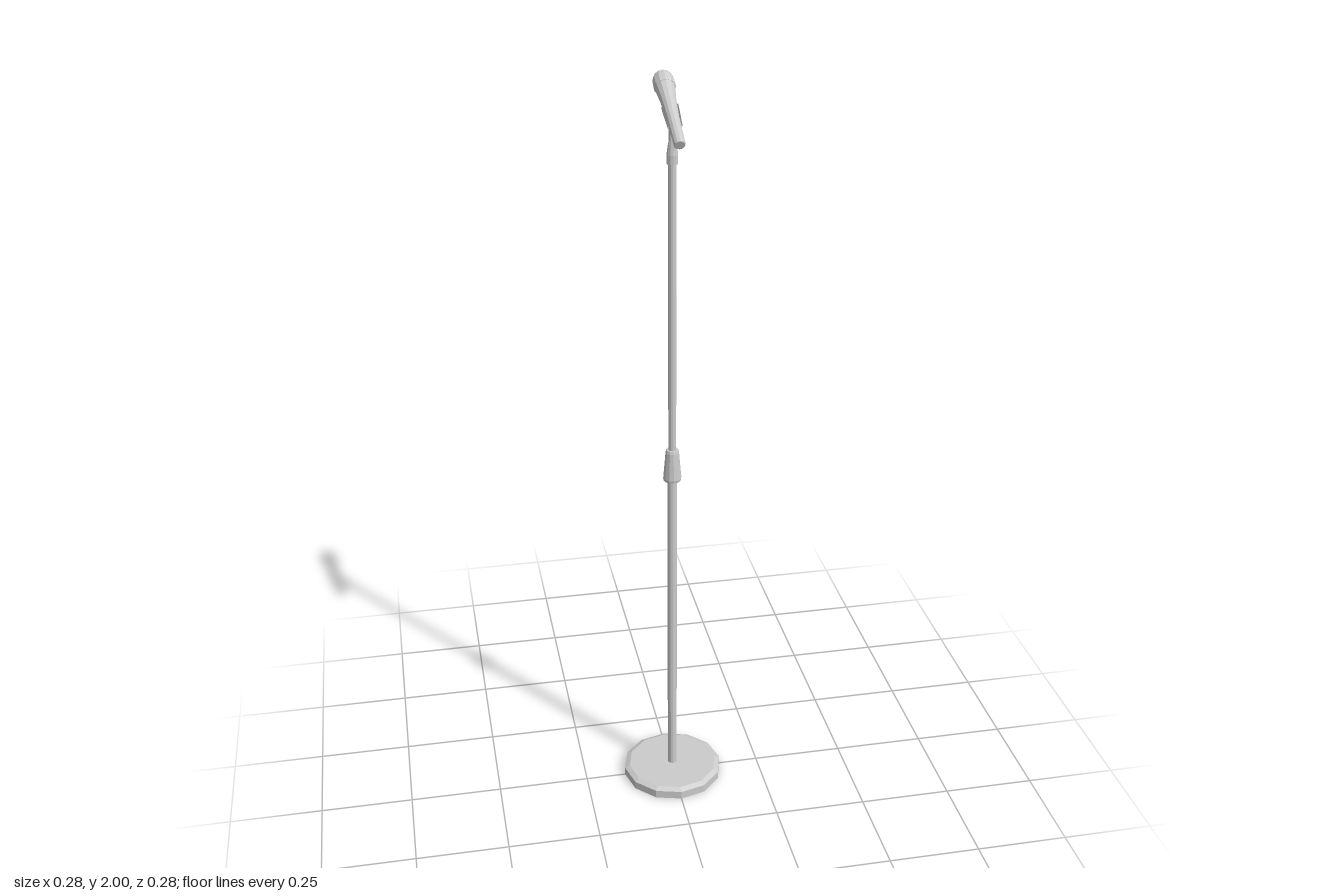
import * as THREE from 'three';

const SIDES = 12;
const material = new THREE.MeshStandardMaterial({ color: 0xcccccc, flatShading: true });
const openMaterial = new THREE.MeshStandardMaterial({ color: 0xcccccc, flatShading: true, side: THREE.DoubleSide });

// Turned part from [radius, height] pairs, listed bottom to top on the outside
function turned(name, profile, mat = material, start = 0, sweep = Math.PI * 2, sides = SIDES) {
  const points = profile.map(([r, y]) => new THREE.Vector2(r, y));
  const mesh = new THREE.Mesh(new THREE.LatheGeometry(points, sides, start, sweep), mat);
  mesh.name = name;
  return mesh;
}

export function createModel() {
  const model = new THREE.Group();
  model.name = 'microphoneStand';

  // Weighted foot: a bevelled shell, open underneath
  model.add(turned('base', [[0.139, 0], [0.139, 0.023], [0.125, 0.03], [0, 0.03]], openMaterial));

  // Telescopic pole with its clutch
  model.add(turned('lowerPole', [[0, 0.02], [0.013, 0.02], [0.013, 0.955], [0, 0.955]]));
  model.add(turned('upperPole', [[0, 1.03], [0.0105, 1.03], [0.0105, 1.81], [0, 1.81]]));
  model.add(turned('clutch', [
    [0, 0.948], [0.023, 0.948], [0.0245, 0.955], [0.0235, 0.965],
    [0.018, 1.03], [0.016, 1.037], [0, 1.037],
  ]));

  // Threaded socket under the clip
  model.add(turned('clipSocket', [
    [0, 1.8], [0.0145, 1.8], [0.0145, 1.822], [0.011, 1.845], [0.008, 1.86], [0, 1.86],
  ]));

  // Flat hinge bracket, flaring along z towards the clip
  const hingeShape = new THREE.Shape();
  hingeShape.moveTo(-0.013, 1.835);
  hingeShape.lineTo(0.013, 1.835);
  hingeShape.lineTo(0.013, 1.885);
  hingeShape.lineTo(0.018, 1.908);
  hingeShape.lineTo(-0.018, 1.895);
  hingeShape.lineTo(-0.013, 1.875);
  const hingeGeometry = new THREE.ExtrudeGeometry(hingeShape, { depth: 0.014, bevelEnabled: false });
  hingeGeometry.translate(0, 0, -0.007).rotateY(Math.PI / 2);
  const hinge = new THREE.Mesh(hingeGeometry, material);
  hinge.name = 'clipHinge';
  model.add(hinge);

  // Microphone and clip share one tilted axis, starting at the tail
  const tilted = new THREE.Group();
  tilted.name = 'microphone';
  tilted.position.set(0, 1.87, 0.095);
  tilted.rotation.x = -1.12;
  tilted.add(turned('handle', [
    [0, 0], [0.012, 0], [0.0145, 0.004], [0.016, 0.1], [0.02, 0.165], [0.025, 0.208], [0, 0.208],
  ]));
  tilted.add(turned('grille', [
    [0, 0.207], [0.0255, 0.207], [0.0275, 0.212], [0.0265, 0.234], [0.0225, 0.247], [0.016, 0.254], [0, 0.254],
  ]));

  // Clip: a trough open along the top of the handle
  tilted.add(turned('clip', [
    [0.016, 0.07], [0.0185, 0.07], [0.0215, 0.135], [0.018, 0.135], [0.016, 0.07],
  ], openMaterial, Math.PI / 3, Math.PI * 4 / 3, 8));
  model.add(tilted);

  return model;
}
